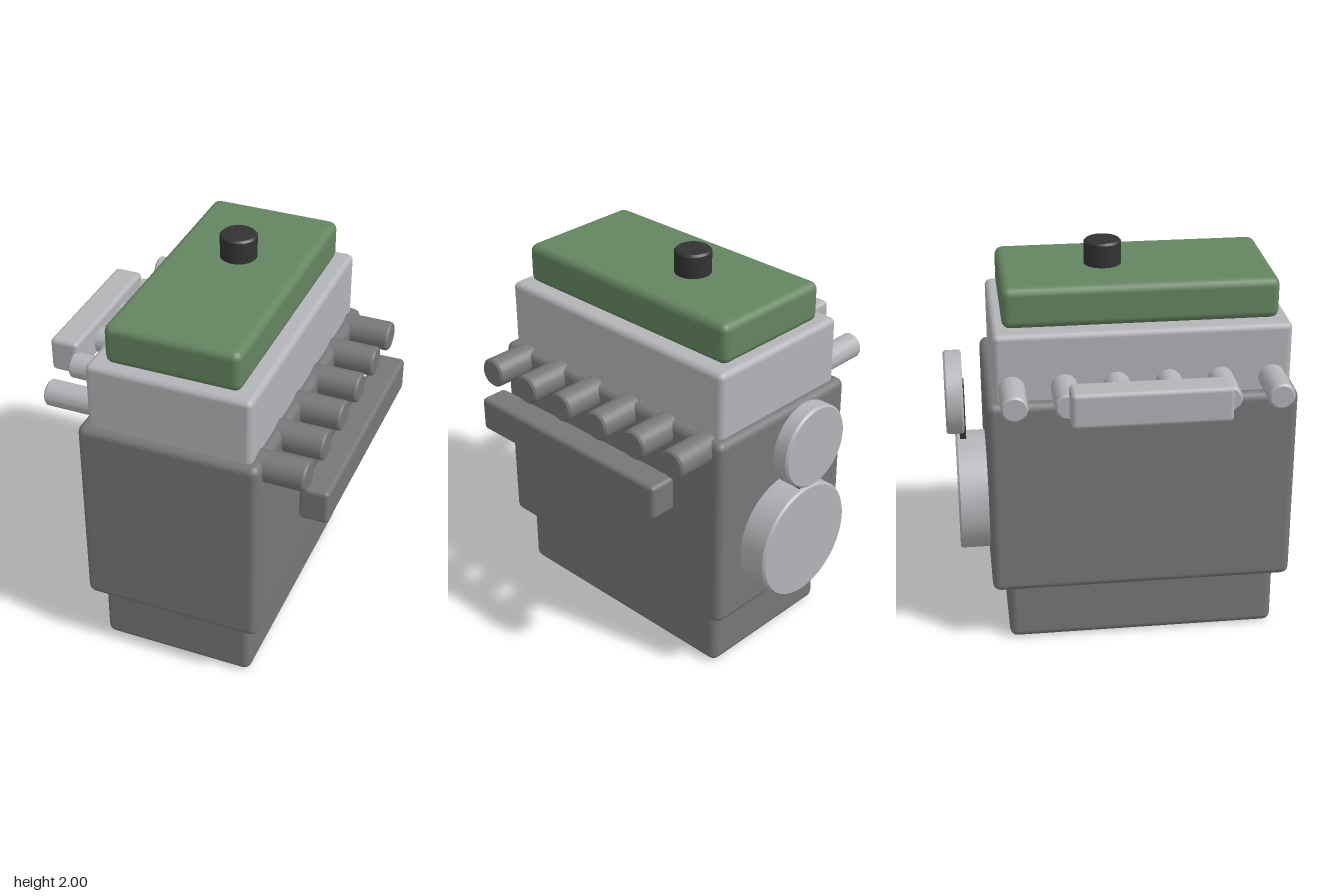
import * as THREE from 'three';
import { toCreasedNormals } from 'three/addons/utils/BufferGeometryUtils.js';
import { RoundedBoxGeometry } from 'three/addons/geometries/RoundedBoxGeometry.js';

const material = (name, color) => {
  const m = new THREE.MeshStandardMaterial({ color });
  m.name = name;
  return m;
};

export function createModel() {
  const model = new THREE.Group();
  model.name = 'engine';
  const castIron = material('cast iron grey', 0x77777a);
  const aluminium = material('aluminium grey', 0xb2b4b7);
  const green = material('cover green', 0x64855f);
  const black = material('rubber black', 0x333334);

  // Rounded block given by its limits on each axis
  function block(name, mat, [x0, x1], [y0, y1], [z0, z1], radius) {
    const geo = new RoundedBoxGeometry(x1 - x0, y1 - y0, z1 - z0, 2, radius);
    const mesh = new THREE.Mesh(geo, mat);
    mesh.name = name;
    mesh.position.set((x0 + x1) / 2, (y0 + y1) / 2, (z0 + z1) / 2);
    model.add(mesh);
  }

  // Cylinder with slightly bevelled rims, centred and laid along an axis
  function drum(name, mat, radius, length, axis, [x, y, z], bevel = 0.01) {
    const h = length / 2;
    const profile = [
      [0, -h], [radius - bevel, -h], [radius, -h + bevel],
      [radius, h - bevel], [radius - bevel, h], [0, h],
    ].map(([r, py]) => new THREE.Vector2(r, py));
    const geo = toCreasedNormals(new THREE.LatheGeometry(profile, 40), 0.5);
    const mesh = new THREE.Mesh(geo, mat);
    mesh.name = name;
    if (axis === 'x') mesh.rotation.z = Math.PI / 2;
    if (axis === 'z') mesh.rotation.x = Math.PI / 2;
    mesh.position.set(x, y, z);
    model.add(mesh);
  }

  // Main body, from the bottom up
  block('sump', castIron, [-0.38, 0.408], [0, 0.36], [-0.58, 0.78], 0.04);
  block('engineBlock', castIron, [-0.442, 0.468], [0.315, 1.345], [-0.66, 0.85], 0.04);
  block('cylinderHead', aluminium, [-0.397, 0.422], [1.3, 1.68], [-0.62, 0.813], 0.03);
  block('valveCover', green, [-0.32, 0.347], [1.675, 1.88], [-0.568, 0.762], 0.04);
  drum('oilCap', black, 0.091, 0.16, 'y', [0.013, 1.92, -0.055]);

  // Six ports along each side
  for (let i = 0; i < 6; i++) {
    const z = -0.535 + i * 0.2505;
    drum('intakePipe', aluminium, 0.064, 0.34, 'x', [-0.47, 1.41, z]);
    drum('exhaustPipe', castIron, 0.075, 0.3, 'x', [0.517, 1.286, z]);
  }

  // Manifold rails
  block('intakeManifold', aluminium, [-0.762, -0.616], [1.35, 1.526], [-0.283, 0.468], 0.022);
  block('exhaustManifold', castIron, [0.612, 0.758], [1.012, 1.19], [-0.51, 0.7], 0.022);

  // Pulleys and belt at the back
  drum('crankPulley', aluminium, 0.303, 0.19, 'z', [0.012, 0.677, -0.715]);
  drum('upperPulley', aluminium, 0.211, 0.09, 'z', [0.012, 1.228, -0.807]);
  block('belt', black, [-0.019, 0.043], [0.67, 1.29], [-0.787, -0.755], 0.005);

  return model;
}
